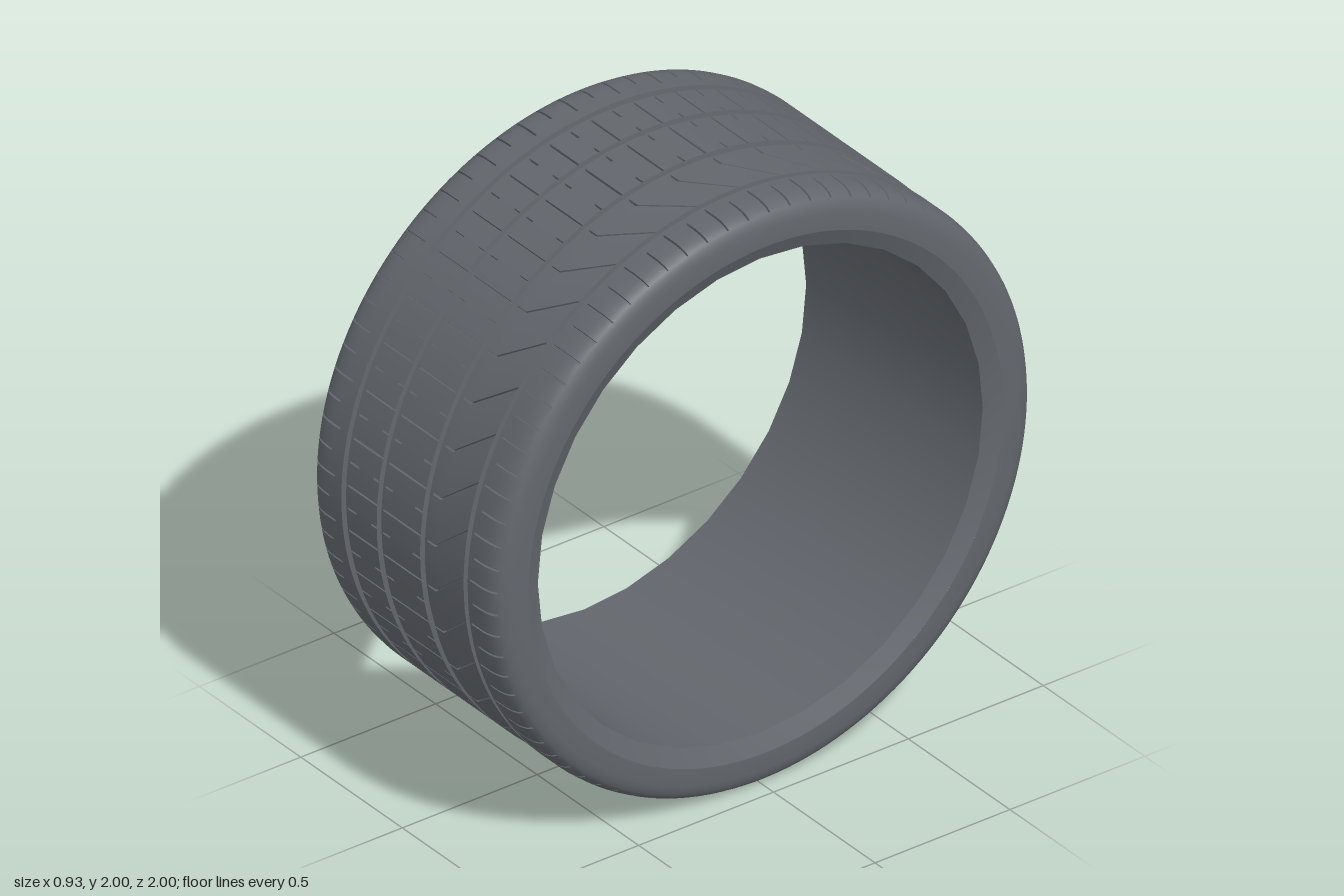
import * as THREE from 'three';
import { toCreasedNormals } from 'three/addons/utils/BufferGeometryUtils.js';

const PITCHES = 40, PITCH = (Math.PI * 2) / PITCHES;
const STEP = 0.002;                       // width of a groove wall
const GROOVE_DEPTH = 0.016, SIPE_DEPTH = 0.01;

// Bands across the tread: [from x, to x]
const grooves = [[-0.3, -0.27], [-0.126, -0.096], [0.088, 0.12], [0.302, 0.322]];
const sipes = [[-0.445, -0.335], [-0.27, -0.126], [-0.096, 0.088], [0.12, 0.302], [0.33, 0.445]];
const halfSipes = [[-0.445, -0.36], [-0.27, -0.225], [-0.155, -0.126], [-0.096, -0.06], [0.05, 0.088], [0.345, 0.445]];

// Sidewall and rounded shoulder, as [x, radius] from the rim outwards
const shoulder = [[0.463, 0.88], [0.463, 0.937], [0.459, 0.955], [0.453, 0.97], [0.445, 0.981], [0.43, 0.991], [0.41, 0.997], [0.385, 1]];

const inside = (x, bands) => bands.some(([a, b]) => x > a + STEP / 2 && x < b - STEP / 2);

function treadRadius(x) {
  const ax = Math.abs(x);
  for (let i = shoulder.length - 1; i > 1; i--) {
    const [x0, r0] = shoulder[i], [x1, r1] = shoulder[i - 1];
    if (ax >= x0 && ax <= x1) return r0 + ((r1 - r0) * (ax - x0)) / (x1 - x0);
  }
  return 1;
}

// The cross cuts run straight, then sweep along the fourth rib
const sweep = (x) => 0.125 * THREE.MathUtils.clamp((x - 0.16) / 0.15, 0, 1);

function treadGeometry() {
  // Rows across the tyre, with a pair of rows at each groove wall
  const xs = [0.16, 0.31, 0];
  for (const [a, b] of [...grooves, ...sipes, ...halfSipes]) xs.push(a, a + STEP, b - STEP, b);
  for (const [x] of shoulder.slice(2)) xs.push(x, -x);
  xs.sort((a, b) => a - b);
  const tread = xs.filter((x, i) => i === 0 || x - xs[i - 1] > 1e-5).map((x) => [x, treadRadius(x)]);
  const rows = [
    ...shoulder.slice(0, 2).map(([x, r]) => [-x, r]),
    ...tread,
    ...shoulder.slice(0, 2).reverse(),
  ];

  // Columns round the tyre: a full cut and a half cut in each pitch
  const w = 0.0035, e = 0.0012;
  const cut = [-w, -w + e, w - e, w];
  const local = [...cut, PITCH / 4, ...cut.map((t) => t + PITCH / 2), PITCH * 0.75];
  const cols = PITCHES * local.length;
  const positions = [], indices = [];
  rows.forEach(([x, r], i) => {
    const g = inside(x, grooves) ? GROOVE_DEPTH : 0;
    const full = inside(x, sipes) ? SIPE_DEPTH : 0;
    const half = inside(x, halfSipes) ? SIPE_DEPTH : 0;
    for (let j = 0; j < cols; j++) {
      const k = j % local.length;
      const a = Math.floor(j / local.length) * PITCH + local[k] + sweep(x) + 0.059;
      const s = k === 1 || k === 2 ? full : k === 6 || k === 7 ? half : 0;
      const rad = r - Math.max(g, s);
      positions.push(x, rad * Math.sin(a), rad * Math.cos(a));
      if (i < rows.length - 1) {
        const n = (j + 1) % cols, p = i * cols, q = p + cols;
        indices.push(p + j, q + j, q + n, p + j, q + n, p + n);
      }
    }
  });
  const geo = new THREE.BufferGeometry();
  geo.setAttribute('position', new THREE.Float32BufferAttribute(positions, 3));
  geo.setIndex(indices);
  return toCreasedNormals(geo, 0.6);
}

function boreGeometry() {
  // Bevelled rim edges and the straight inner wall
  const profile = [[0.885, 0.462], [0.825, 0.435], [0.825, -0.435], [0.885, -0.462]];
  const geo = new THREE.LatheGeometry(profile.map(([r, y]) => new THREE.Vector2(r, y)), 32);
  geo.rotateZ(-Math.PI / 2);
  return toCreasedNormals(geo, 0.6);
}

export function createModel() {
  const rubber = new THREE.MeshStandardMaterial({ color: 0x62666c });
  const tyre = new THREE.Group();
  tyre.name = 'tyre';
  const add = (name, geometry) => {
    const mesh = new THREE.Mesh(geometry, rubber);
    mesh.name = name;
    mesh.position.y = 1;
    tyre.add(mesh);
  };
  add('treadAndSidewalls', treadGeometry());
  add('innerBore', boreGeometry());
  return tyre;
}
